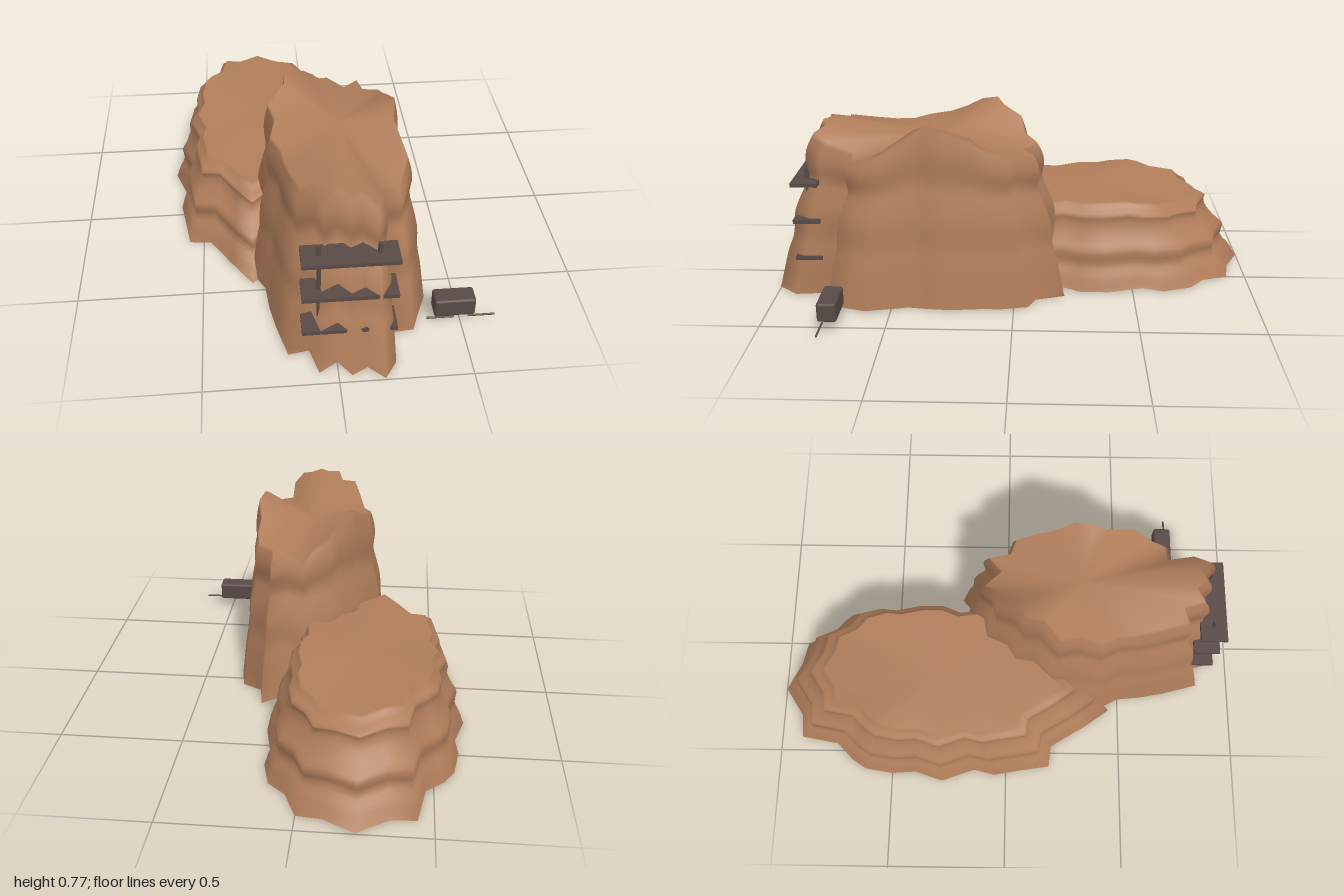
import * as THREE from 'three';
import { RoundedBoxGeometry } from 'three/addons/geometries/RoundedBoxGeometry.js';

const rockMat = new THREE.MeshStandardMaterial({ color: 0xb07d5a, side: THREE.DoubleSide });
rockMat.name = 'sandstone';
const darkMat = new THREE.MeshStandardMaterial({ color: 0x584a47 });
darkMat.name = 'dark timber';

// Open-bottomed rock: the ground outline [x, z, rimHeight] shrinks upward along
// a profile [scale, heightFraction] and is closed by a fan to the centre point.
function rock(name, outline, profile, centre, meanHeight) {
  const n = outline.length;
  const rings = new THREE.SplineCurve(profile.map(([s, t]) => new THREE.Vector2(s, t))).getPoints(22);
  const pos = [], idx = [];
  for (const { x: s, y: t } of rings) {
    outline.forEach(([x, z, h], i) => {
      const y = t * (meanHeight + (h - meanHeight) * t * t);
      const foot = t < 0.001 ? 0.005 + 0.005 * Math.sin(i * 2.3) : y;
      pos.push(centre[0] + (x - centre[0]) * s, foot, centre[2] + (z - centre[2]) * s);
    });
  }
  for (let j = 0; j < rings.length - 1; j++) {
    for (let i = 0; i < n; i++) {
      const a = j * n + i, b = j * n + (i + 1) % n;
      idx.push(a, a + n, b, b, a + n, b + n);
    }
  }
  const top = (rings.length - 1) * n;
  pos.push(...centre);
  for (let i = 0; i < n; i++) idx.push(top + i, top + n, top + (i + 1) % n);
  const geo = new THREE.BufferGeometry();
  geo.setAttribute('position', new THREE.Float32BufferAttribute(pos, 3));
  geo.setIndex(idx);
  geo.computeVertexNormals();
  const mesh = new THREE.Mesh(geo, rockMat);
  mesh.name = name;
  return mesh;
}

function part(name, geo, x, y, z) {
  const mesh = new THREE.Mesh(geo, darkMat);
  mesh.name = name;
  mesh.position.set(x, y, z);
  return mesh;
}

export function createModel() {
  const model = new THREE.Group();
  model.name = 'mesaWithWalkways';

  // Tall front rock
  model.add(rock('tallRock', [
    [0.14, -0.14, 0.62], [0.22, -0.21, 0.62], [0.24, -0.09, 0.63], [0.32, -0.06, 0.64],
    [0.34, 0.05, 0.67], [0.33, 0.13, 0.71], [0.36, 0.26, 0.75], [0.34, 0.36, 0.76],
    [0.33, 0.43, 0.74], [0.38, 0.6, 0.66], [0.34, 0.69, 0.62], [0.31, 0.77, 0.61],
    [0.22, 0.78, 0.62], [0.22, 0.92, 0.66], [0.17, 1.0, 0.69], [0.11, 0.94, 0.71],
    [0.05, 0.97, 0.72], [0, 0.91, 0.725], [-0.07, 0.95, 0.715], [-0.1, 0.84, 0.7],
    [-0.18, 0.86, 0.69], [-0.22, 0.7, 0.67], [-0.24, 0.6, 0.66], [-0.25, 0.5, 0.66],
    [-0.3, 0.4, 0.67], [-0.27, 0.28, 0.69], [-0.3, 0.18, 0.71], [-0.21, 0.09, 0.76],
    [-0.2, 0.0, 0.77], [-0.13, -0.04, 0.75], [-0.09, -0.14, 0.71], [0, -0.16, 0.66], [0.05, -0.23, 0.63],
  ], [
    [1, 0], [0.97, 0.12], [0.93, 0.27], [0.89, 0.38], [0.875, 0.52], [0.82, 0.65],
    [0.775, 0.74], [0.79, 0.84], [0.775, 0.92], [0.73, 1],
  ], [0.05, 0.667, 0.3], 0.67));

  // Low rear rock with stepped ledges
  model.add(rock('lowRock', [
    [-0.22, -1.0, 0.345], [-0.1, -0.94, 0.335], [0, -0.92, 0.33], [0.05, -0.81, 0.335],
    [0.12, -0.75, 0.345], [0.15, -0.63, 0.355], [0.14, -0.54, 0.36], [0.17, -0.4, 0.36],
    [0.17, -0.28, 0.36], [0.13, -0.18, 0.36], [0.15, -0.06, 0.355], [0.08, 0.06, 0.35],
    [0.06, 0.18, 0.345], [-0.04, 0.22, 0.34], [-0.1, 0.35, 0.34], [-0.2, 0.36, 0.34],
    [-0.3, 0.46, 0.335], [-0.38, 0.35, 0.335], [-0.47, 0.2, 0.335], [-0.56, 0.19, 0.335],
    [-0.58, 0.07, 0.335], [-0.6, -0.05, 0.335], [-0.58, -0.14, 0.34], [-0.63, -0.28, 0.345],
    [-0.59, -0.4, 0.355], [-0.6, -0.5, 0.365], [-0.58, -0.62, 0.375], [-0.54, -0.68, 0.375],
    [-0.47, -0.75, 0.37], [-0.44, -0.91, 0.36], [-0.34, -0.92, 0.35],
  ], [
    [1, 0], [0.95, 0.17], [0.89, 0.31], [0.9, 0.46], [0.84, 0.58], [0.79, 0.7],
    [0.77, 0.8], [0.775, 0.87], [0.72, 0.93], [0.68, 1],
  ], [-0.24, 0.348, -0.28], 0.35));

  // Walkways across the front face, with posts
  for (const y of [0.167, 0.33, 0.49]) {
    model.add(part('walkway', new THREE.BoxGeometry(0.35, 0.016, 0.11), 0.045, y, 0.853));
  }
  for (const x of [-0.065, 0.15]) {
    model.add(part('post', new THREE.CylinderGeometry(0.008, 0.008, 0.34, 10), x, 0.37, 0.853));
  }

  // Cart and rails beside the rock
  model.add(part('cart', new RoundedBoxGeometry(0.16, 0.08, 0.077, 2, 0.01), 0.47, 0.09, 0.718));
  for (const x of [0.418, 0.578]) {
    const rail = part('rail', new THREE.CylinderGeometry(0.004, 0.004, 0.106, 8), x, 0.035, 0.742);
    rail.rotation.z = Math.PI / 2;
    model.add(rail);
  }
  return model;
}
